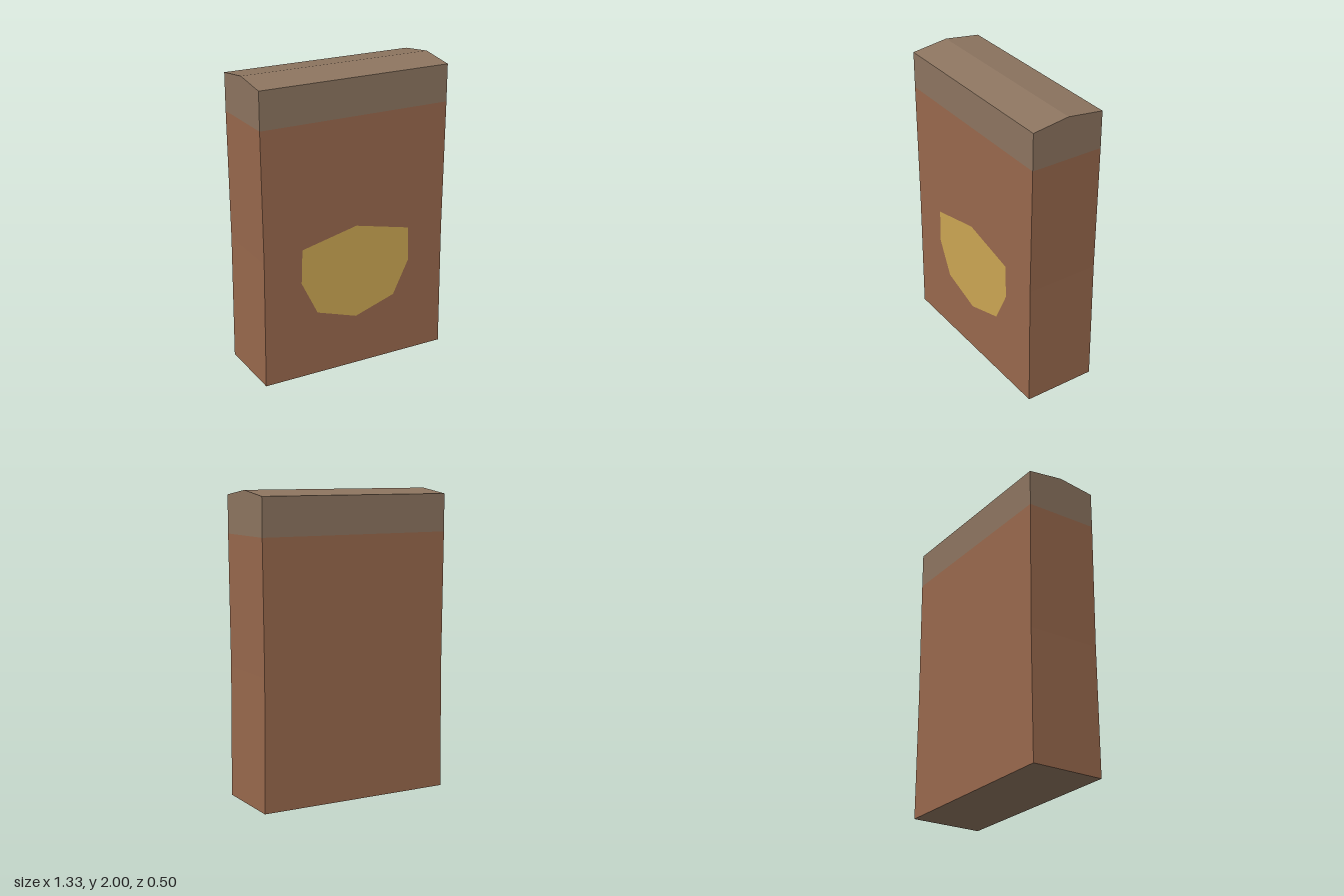
import * as THREE from 'three';

const WIDTH = 1.325, DEPTH = 0.494, SEAM = 1.72, SHOULDER = 1.967, WAIST = 0.655;

function mat(name, color) {
  const m = new THREE.MeshStandardMaterial({ color });
  m.name = name;
  return m;
}

function mesh(name, geometry, material) {
  const m = new THREE.Mesh(geometry, material);
  m.name = name;
  return m;
}

export function createModel() {
  const group = new THREE.Group();
  group.name = 'pouch';
  const brown = mat('red brown', 0x99694d);
  const taupe = mat('taupe', 0x8d7560);
  const gold = mat('gold', 0xcda753);

  // Body, drawn in slightly at mid height, with a taupe underside
  const bodyGeo = new THREE.BoxGeometry(WIDTH, SEAM, DEPTH, 1, 2, 1).translate(0, SEAM / 2, 0);
  const pos = bodyGeo.attributes.position;
  for (let i = 0; i < pos.count; i++) {
    if (Math.abs(pos.getY(i) - SEAM / 2) < 0.01) pos.setX(i, Math.sign(pos.getX(i)) * WAIST);
  }
  const body = bodyGeo.toNonIndexed();
  body.computeVertexNormals();
  group.add(mesh('body', body, [brown, brown, taupe, taupe, brown, brown]));

  // Top band with a low ridge running across the width
  const h = DEPTH / 2;
  const profile = new THREE.Shape([[-h, SEAM], [h, SEAM], [h, SHOULDER], [0, 2], [-h, SHOULDER]]
    .map(([z, y]) => new THREE.Vector2(z, y)));
  const band = new THREE.ExtrudeGeometry(profile, { depth: WIDTH, bevelEnabled: false });
  band.translate(0, 0, -WIDTH / 2).rotateY(-Math.PI / 2);
  group.add(mesh('topBand', band, taupe));

  // Flat patch on the front
  const half = [[0.39, 0.9], [0.398, 0.67], [0.285, 0.44]];
  const outline = [[0, 0.99], ...half, [0, 0.347], ...half.map(([x, y]) => [-x, y]).reverse()];
  const patch = new THREE.ShapeGeometry(new THREE.Shape(outline.map(([x, y]) => new THREE.Vector2(x, y))));
  patch.translate(0, 0, h + 0.003);
  group.add(mesh('frontPatch', patch, gold));

  return group;
}
